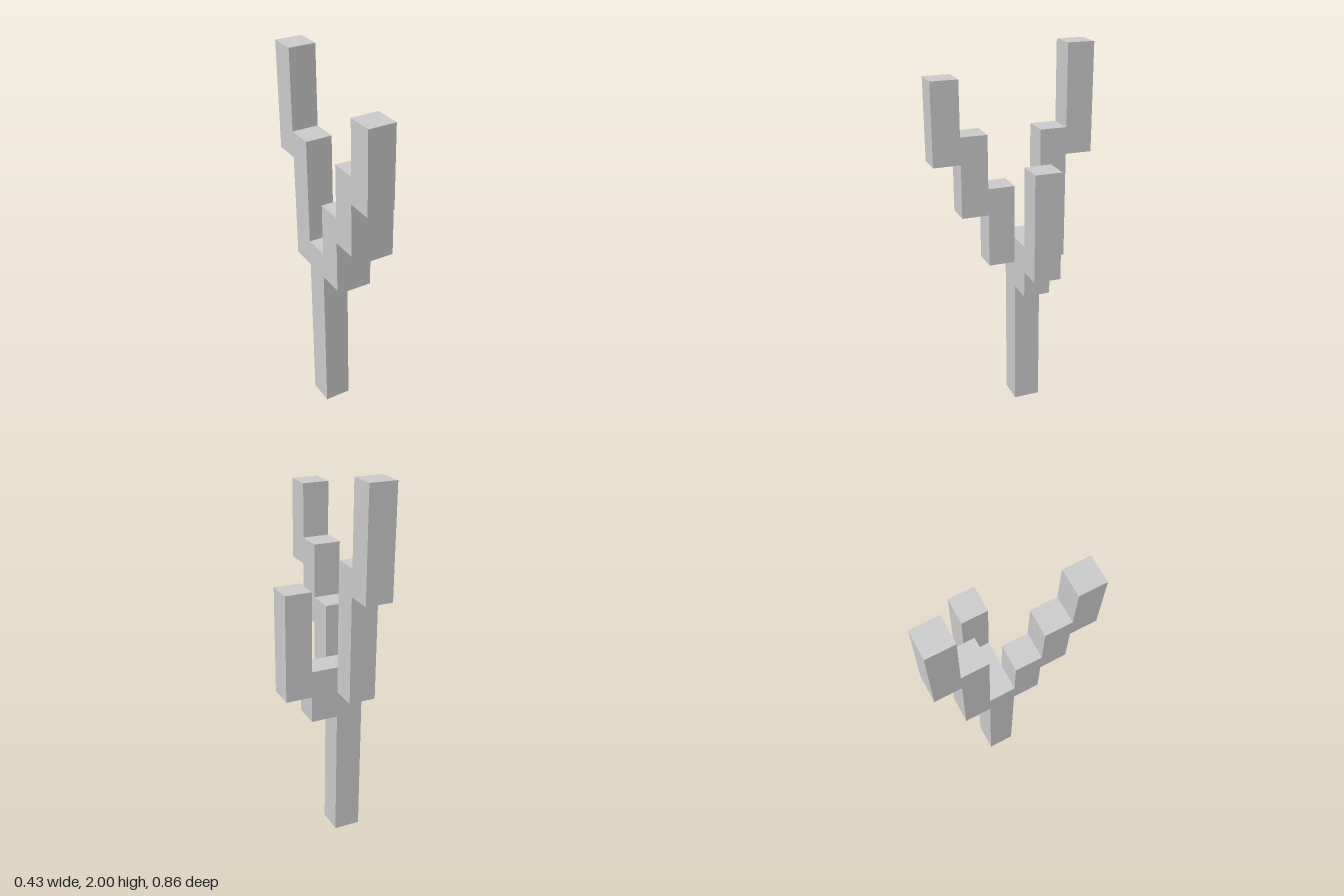
import * as THREE from 'three';

// The whole plant sits on a square grid, 14 cells tall
const U = 1 / 7;
const material = new THREE.MeshStandardMaterial({ color: 0xcccccc, flatShading: true });

// A stepped branch, one cell thick: columns of [bottom, top] going outward from the trunk
function stepBranch(name, columns, angle) {
  const outline = [];
  columns.forEach(([bottom], i) => outline.push([i, bottom], [i + 1, bottom]));
  for (let i = columns.length - 1; i >= 0; i--) {
    outline.push([i + 1, columns[i][1]], [i, columns[i][1]]);
  }
  const shape = new THREE.Shape(
    outline.map(([s, y]) => new THREE.Vector2((s + 0.5) * U, y * U))
  );
  const geometry = new THREE.ExtrudeGeometry(shape, { depth: U, bevelEnabled: false });
  geometry.translate(0, 0, -U / 2);
  const mesh = new THREE.Mesh(geometry, material);
  mesh.name = name;
  mesh.rotation.y = angle;
  return mesh;
}

export function createModel() {
  const model = new THREE.Group();
  model.name = 'cactus';

  // Everything grows around the trunk's axis
  const plant = new THREE.Group();
  plant.name = 'plant';
  plant.position.set(-U, 0, -U / 2);
  model.add(plant);

  const trunk = new THREE.Mesh(new THREE.BoxGeometry(U, 7 * U, U), material);
  trunk.name = 'trunk';
  trunk.position.y = 3.5 * U;

  plant.add(
    trunk,
    stepBranch('leftBranch', [[5, 7], [6, 10]], 0),
    stepBranch('frontBranch', [[6, 9], [8, 11], [10, 13]], -Math.PI / 2),
    stepBranch('backBranch', [[6, 11], [10, 14]], Math.PI / 2)
  );
  return model;
}
